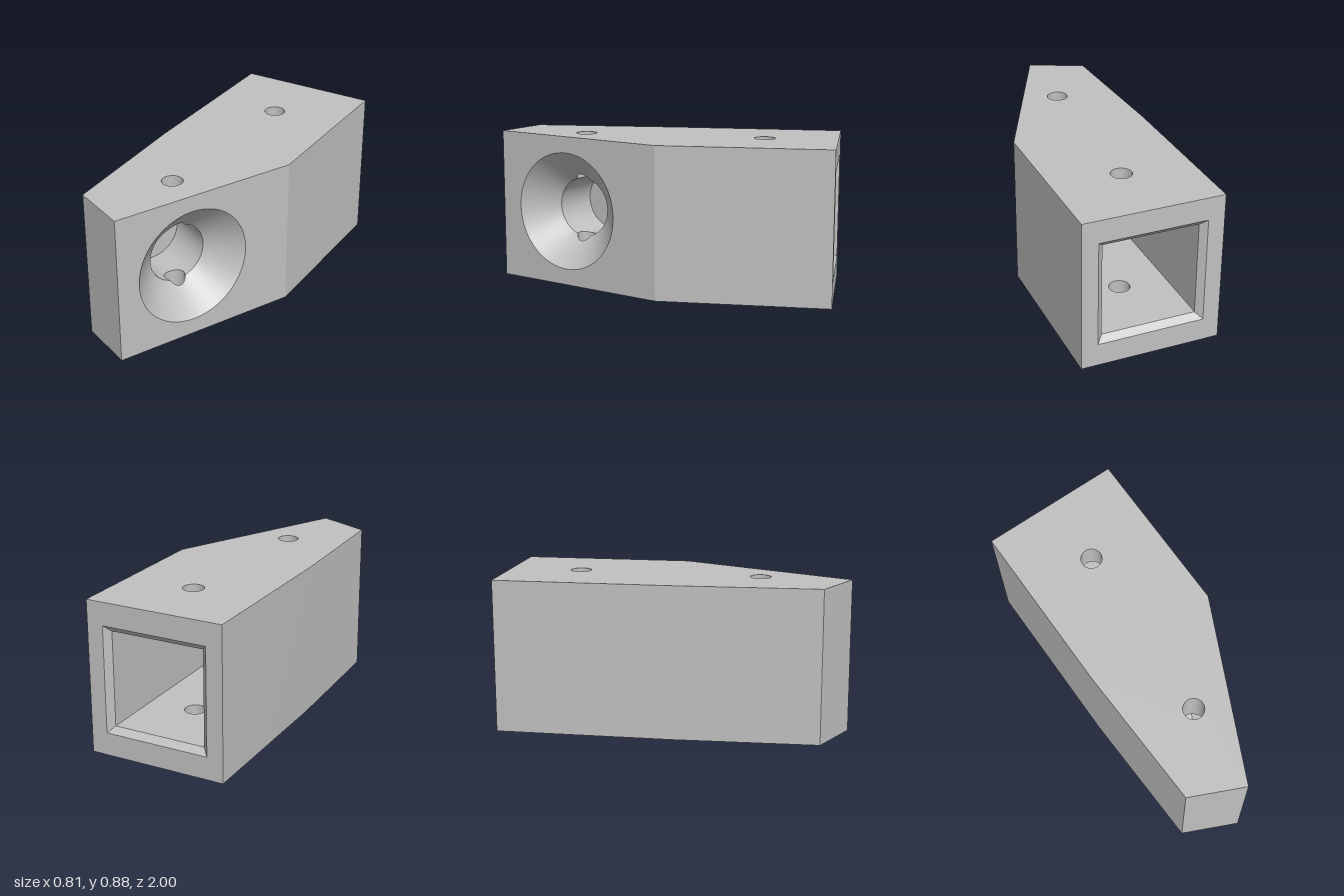
import * as THREE from 'three';
import { toCreasedNormals } from 'three/addons/utils/BufferGeometryUtils.js';

const V = (x, y, z) => new THREE.Vector3(x, y, z);
const H = 0.885, MID = H / 2;

// plan outline (x, z), starting and ending at the slanted face
const outline = [[-0.067, 1], [-0.375, 0.857], [-0.405, 0.02], [-0.405, -1], [0.405, -1], [0.405, -0.01]];

// slanted face frame: centre of the countersink, outward normal, tangent
const pA = V(-0.067, 0, 1), pB = V(0.405, 0, -0.01);
const T = pB.clone().sub(pA).normalize();
const N = V(-T.z, 0, T.x);
const C = pA.clone().lerp(pB, 0.428).setY(MID);
const onSlant = (u, v, depth = 0) => C.clone().addScaledVector(T, u).addScaledVector(N, -depth).add(V(0, v, 0));

const CONE_R = 0.347, BORE_R = 0.174, CONE_D = CONE_R - BORE_R, BORE_D = 0.45;
const PIN_R = 0.06, PIN_D = 0.205;
const radiusAt = (d) => Math.max(CONE_R - d, BORE_R);

// quads between neighbouring rings of points
function strips(rings, closed = true) {
  const pos = [];
  const tri = (a, b, c) => {
    const area = b.clone().sub(a).cross(c.clone().sub(a)).length();
    if (area > 1e-9) for (const p of [a, b, c]) pos.push(p.x, p.y, p.z);
  };
  for (let k = 0; k < rings.length - 1; k++) {
    const A = rings[k], B = rings[k + 1], n = A.length;
    for (let i = 0; i < (closed ? n : n - 1); i++) {
      const j = (i + 1) % n;
      tri(A[i], A[j], B[j]);
      tri(A[i], B[j], B[i]);
    }
  }
  const g = new THREE.BufferGeometry();
  g.setAttribute('position', new THREE.Float32BufferAttribute(pos, 3));
  return toCreasedNormals(g, 0.5);
}

// flat plate with round holes [u, v, r], placed by a mapping (u, v) -> point
function plate(points, holes, map, flip = false) {
  const shape = new THREE.Shape(points.map(([u, v]) => new THREE.Vector2(u, v)));
  for (const [u, v, r] of holes) shape.holes.push(new THREE.Path().absarc(u, v, r, 0, Math.PI * 2, true));
  const g = new THREE.ShapeGeometry(shape, 48).toNonIndexed();
  const p = g.attributes.position, out = [];
  for (let i = 0; i < p.count; i += 3) {
    for (const k of flip ? [0, 2, 1] : [0, 1, 2]) {
      const q = map(p.getX(i + k), p.getY(i + k));
      out.push(q.x, q.y, q.z);
    }
  }
  const flat = new THREE.BufferGeometry();
  flat.setAttribute('position', new THREE.Float32BufferAttribute(out, 3));
  flat.computeVertexNormals();
  return flat;
}

export function createModel() {
  const model = new THREE.Group();
  model.name = 'angledBlock';
  const grey = new THREE.MeshStandardMaterial({ color: 0xc0c0c0 });
  grey.name = 'plainGrey';
  grey.side = THREE.DoubleSide;
  const add = (name, geometry) => {
    const mesh = new THREE.Mesh(geometry, grey);
    mesh.name = name;
    model.add(mesh);
  };

  // pin hole centres in plan
  const rear = V(0, 0, -0.58);
  const front = C.clone().addScaledVector(N, -PIN_D);
  const pins = [rear, front].map((p) => [p.x, -p.z, PIN_R]);

  // top, bottom and outer side walls
  const plan = outline.map(([x, z]) => [x, -z]);
  const level = (y) => (u, v) => V(u, y, -v);
  add('topFace', plate(plan, pins, level(H)));
  add('bottomFace', plate(plan, pins, level(0), true));
  const wall = (pts) => strips([H, 0].map((y) => pts.map(([x, z]) => V(x, y, z))), false);
  add('rightAndNoseWall', wall(outline.slice(0, 4)));
  add('leftWall', wall(outline.slice(4)));

  // slanted face with the countersink mouth
  const u0 = pA.clone().sub(C).dot(T), u1 = pB.clone().sub(C).dot(T);
  add('slantedFace', plate([[u0, -MID], [u1, -MID], [u1, MID], [u0, MID]], [[0, 0, CONE_R]], (u, v) => onSlant(u, v)));

  // countersink and blind bore, leaving openings where the front pin crosses
  const rows = [[], [], [], [], []];
  const SEG = 160;
  for (let i = 0; i < SEG; i++) {
    const th = (i / SEG) * Math.PI * 2, s = Math.sin(th), t = BORE_R * s;
    const half = Math.sqrt(Math.max(0, PIN_R ** 2 - t * t));
    let a = PIN_D - half;
    const b = PIN_D + half;
    if (a < CONE_D) {
      const qa = 1 + s * s, qb = PIN_D + CONE_R * s * s;
      const qc = PIN_D ** 2 + (CONE_R * s) ** 2 - PIN_R ** 2;
      a = (qb - Math.sqrt(Math.max(0, qb * qb - qa * qc))) / qa;
    }
    [0, Math.min(a, CONE_D), a, b, BORE_D].forEach((d, k) => {
      const r = radiusAt(d);
      rows[k].push(onSlant(r * s, r * Math.cos(th), d));
    });
  }
  add('countersink', strips([rows[1], rows[0]]));
  add('boreFront', strips([rows[2], rows[1]]));
  add('boreRear', strips([rows[4], rows[3]]));
  const disc = Array.from({ length: SEG }, (_, i) => {
    const th = (i / SEG) * Math.PI * 2;
    return [BORE_R * Math.cos(th), BORE_R * Math.sin(th)];
  });
  add('boreEnd', plate(disc, [], (u, v) => onSlant(u, v, BORE_D)));

  // square socket in the back, with a chamfered mouth
  const MOUTH = 0.31, IN = 0.275, END = 0;
  const square = (hx, hy, z) => [[1, 1], [-1, 1], [-1, -1], [1, -1]].map(([a, b]) => V(a * hx, MID + b * hy, z));
  const mouth = square(MOUTH, MOUTH, -1), lip = square(IN, IN, -0.965), deep = square(IN, IN, END);
  add('backFrame', strips([mouth, square(0.405, MID, -1)]));
  add('socketChamfer', strips([lip, mouth]));
  for (const [name, i, j] of [['socketRightWall', 1, 2], ['socketLeftWall', 3, 0]]) {
    add(name, strips([[deep[i], deep[j]], [lip[i], lip[j]]], false));
  }
  const floor = [[-IN, -END], [IN, -END], [IN, 0.965], [-IN, 0.965]];
  add('socketFloor', plate(floor, [pins[0]], level(MID - IN)));
  add('socketCeiling', plate(floor, [pins[0]], level(MID + IN), true));
  add('socketEnd', plate([[-IN, -IN], [IN, -IN], [IN, IN], [-IN, IN]], [], (u, v) => V(u, MID + v, END), true));

  // vertical pin holes, ending on the socket or on the bore surface
  const pinHole = (name, centre, gap) => {
    const rings = [[], [], [], []];
    for (let i = 0; i < 96; i++) {
      const a = (i / 96) * Math.PI * 2;
      const p = V(centre.x + PIN_R * Math.cos(a), 0, centre.z + PIN_R * Math.sin(a));
      const h = gap(p);
      [0, MID - h, MID + h, H].forEach((y, k) => rings[k].push(p.clone().setY(y)));
    }
    add(name + 'Lower', strips([rings[0], rings[1]]));
    add(name + 'Upper', strips([rings[2], rings[3]]));
  };
  pinHole('rearPinHole', rear, () => IN);
  pinHole('frontPinHole', front, (p) => {
    const q = p.clone().sub(C);
    return Math.sqrt(radiusAt(-q.dot(N)) ** 2 - q.dot(T) ** 2);
  });

  return model;
}
